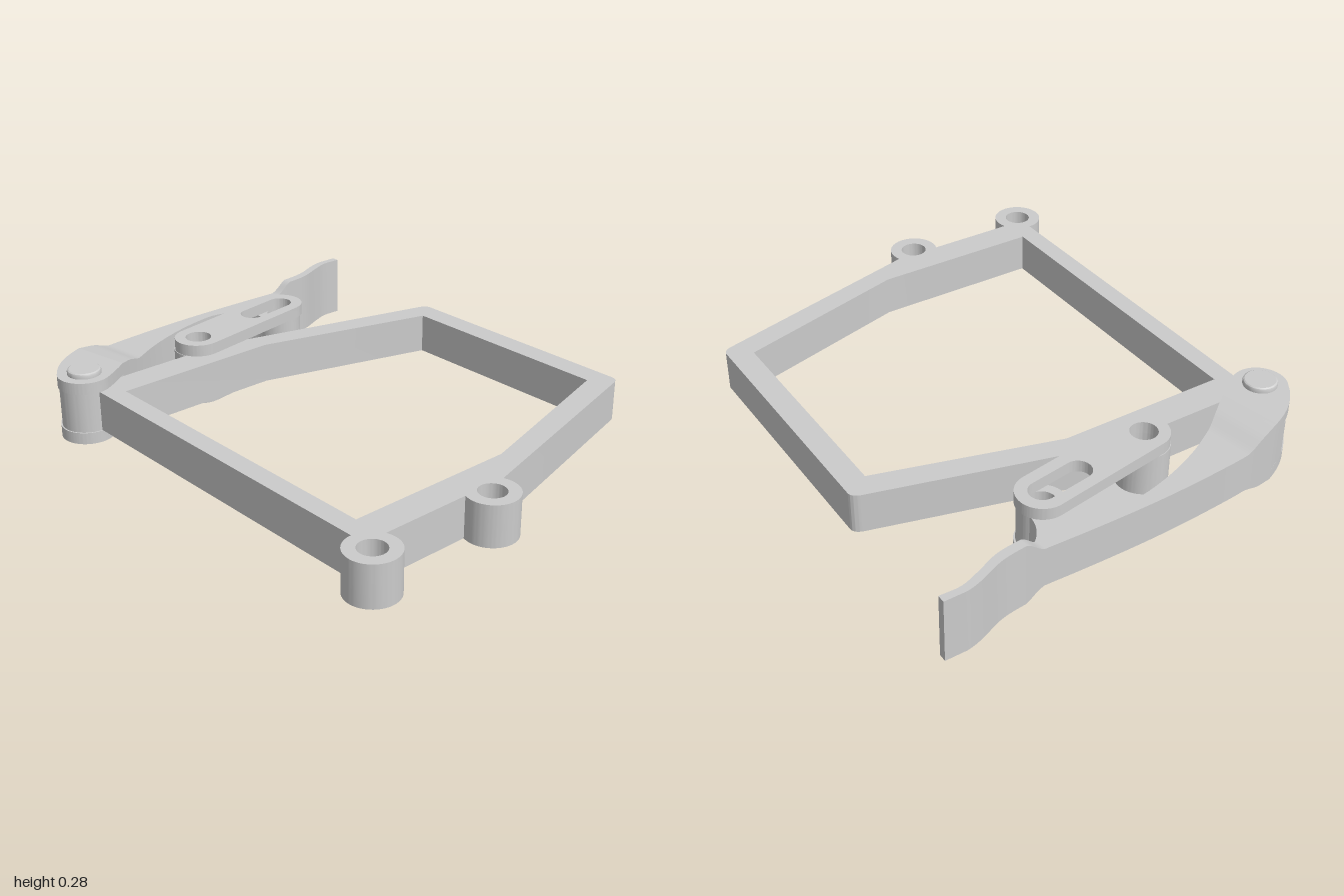
import * as THREE from 'three';
import { toCreasedNormals } from 'three/addons/utils/BufferGeometryUtils.js';

const LOW = 0.065, HIGH = 0.22;       // frame thickness
const BOTTOM = 0.02, TOP = 0.265;     // outer faces of link and fork plates
const MID = (LOW + HIGH) / 2;
const PIN = [-0.66, 0.71], LINK_A = [-0.66, 0.19], LINK_B = [-0.735, -0.28];
const rad = THREE.MathUtils.degToRad;
const material = new THREE.MeshStandardMaterial({ color: 0xcccccc, side: THREE.DoubleSide });

function addMesh(parent, name, geometry) {
  const mesh = new THREE.Mesh(geometry, material);
  mesh.name = name;
  parent.add(mesh);
  return mesh;
}

// Extrude a plan shape, drawn in (x, z), between two heights
function slab(shape, y0, y1) {
  const g = new THREE.ExtrudeGeometry(shape, { depth: y1 - y0, bevelEnabled: false, curveSegments: 28 });
  g.rotateX(Math.PI / 2).translate(0, y1, 0);
  return toCreasedNormals(g, 0.45);
}

function circleHole([x, z], r) {
  return new THREE.Path().absarc(x, z, r, 0, Math.PI * 2, true);
}

// Outline around two round ends
function capsule(path, a, b, r) {
  const t = Math.atan2(b[1] - a[1], b[0] - a[0]);
  path.absarc(b[0], b[1], r, t - Math.PI / 2, t + Math.PI / 2, false);
  path.absarc(a[0], a[1], r, t + Math.PI / 2, t + Math.PI * 1.5, false);
  path.closePath();
  return path;
}

// Hexagonal frame with four hinge bosses merged into its outline
function frameShape() {
  const c = 0.1225, off = 0.7825, r = 0.095, a = 1.947, PI = Math.PI;
  const s = new THREE.Shape();
  s.moveTo(c - 0.48, -0.79);
  s.lineTo(c + 0.48, -0.79);
  s.quadraticCurveTo(c + 0.506, -0.79, c + 0.516, -0.755);
  s.absarc(c + off, 0.19, r, -a, a, false);
  s.absarc(c + off, 0.71, r, -a, PI, false);
  s.absarc(c - off, 0.71, r, 0, PI + a, false);
  s.absarc(c - off, 0.19, r, PI - a, PI + a, false);
  s.lineTo(c - 0.516, -0.755);
  s.quadraticCurveTo(c - 0.506, -0.79, c - 0.48, -0.79);
  const opening = [[-0.435, -0.7], [-0.6275, -0.02], [-0.6275, 0.635], [0.6275, 0.635], [0.6275, -0.02], [0.435, -0.7]];
  s.holes.push(new THREE.Path(opening.map(([x, z]) => new THREE.Vector2(c + x, z))));
  for (const x of [c - off, c + off]) for (const z of [0.19, 0.71]) s.holes.push(circleHole([x, z], 0.05));
  return s;
}

// Lever arm stations: outer x, z, inner x, z, half height
const stations = [
  [-0.872, 0.60, -0.64, 0.555, 0.1225], [-0.895, 0.52, -0.685, 0.49, 0.105],
  [-0.912, 0.44, -0.73, 0.42, 0.0775], [-0.925, 0.30, -0.80, 0.29, 0.0775],
  [-0.935, 0.12, -0.862, 0.12, 0.0775], [-0.938, -0.04, -0.893, -0.04, 0.0775],
  [-0.935, -0.25, -0.895, -0.25, 0.0775], [-0.93, -0.40, -0.893, -0.40, 0.0775],
  [-0.93, -0.47, -0.895, -0.47, 0.1225], [-0.945, -0.57, -0.908, -0.565, 0.1225],
  [-0.985, -0.67, -0.947, -0.66, 0.1225], [-1, -0.73, -0.971, -0.73, 0.1225],
  [-1, -0.81, -0.971, -0.81, 0.1225],
];

// Sweep a rectangular section through the stations
function leverGeometry() {
  const curve = (i) => new THREE.CatmullRomCurve3(stations.map((s) => new THREE.Vector3(s[i], s[4], s[i + 1])));
  const outer = curve(0), inner = curve(2), n = (stations.length - 1) * 6;
  const pos = [], index = [];
  for (let i = 0; i <= n; i++) {
    const o = outer.getPoint(i / n), p = inner.getPoint(i / n);
    const h = THREE.MathUtils.clamp(o.y, 0.0775, 0.1225);
    const ox = Math.max(o.x, -1);
    pos.push(ox, MID - h, o.z, ox, MID + h, o.z, p.x, MID + h, p.z, p.x, MID - h, p.z);
    if (i === n) break;
    for (let k = 0; k < 4; k++) {
      const a = i * 4 + k, b = i * 4 + (k + 1) % 4;
      index.push(a, b, b + 4, a, b + 4, a + 4);
    }
  }
  const e = n * 4;
  index.push(0, 3, 2, 0, 2, 1, e, e + 1, e + 2, e, e + 2, e + 3);
  const g = new THREE.BufferGeometry();
  g.setAttribute('position', new THREE.Float32BufferAttribute(pos, 3));
  g.setIndex(index);
  return toCreasedNormals(g, 0.6);
}

// Plate that wraps the pin at the end of the lever
function forkShape() {
  const s = new THREE.Shape();
  s.moveTo(-0.872, 0.60);
  s.quadraticCurveTo(-0.82, 0.73, -0.724, 0.787);
  s.absarc(...PIN, 0.1, rad(130), rad(-25), true);
  s.quadraticCurveTo(-0.6, 0.61, -0.64, 0.555);
  s.closePath();
  return s;
}

// Web between the fork plates, hollowed around the hinge boss
function webShape() {
  const s = new THREE.Shape();
  s.moveTo(-0.872, 0.60);
  s.quadraticCurveTo(-0.85, 0.65, -0.83, 0.685);
  s.absarc(...PIN, 0.13, rad(190), rad(278), false);
  s.lineTo(-0.64, 0.555);
  s.closePath();
  return s;
}

// Hook that joins the lever to the slotted link
function hookShape() {
  const s = new THREE.Shape();
  s.moveTo(-0.915, -0.43);
  s.lineTo(-0.893, -0.42);
  s.quadraticCurveTo(-0.85, -0.36, -0.775, -0.355);
  s.absarc(...LINK_B, 0.085, rad(-118), rad(95), false);
  s.bezierCurveTo(-0.82, -0.195, -0.885, -0.15, -0.893, -0.04);
  s.lineTo(-0.915, -0.04);
  s.closePath();
  s.holes.push(circleHole(LINK_B, 0.05));
  return s;
}

function linkShape() {
  const s = capsule(new THREE.Shape(), LINK_A, LINK_B, 0.092);
  s.holes.push(circleHole(LINK_A, 0.05));
  s.holes.push(capsule(new THREE.Path(), [-0.711, -0.12], LINK_B, 0.048));
  return s;
}

export function createModel() {
  const model = new THREE.Group();
  addMesh(model, 'frame', slab(frameShape(), LOW, HIGH));

  const lever = new THREE.Group();
  lever.name = 'lever';
  addMesh(lever, 'leverArm', leverGeometry());
  addMesh(lever, 'forkWeb', slab(webShape(), LOW, HIGH));
  addMesh(lever, 'leverHook', slab(hookShape(), LOW, HIGH));
  model.add(lever);

  const link = new THREE.Group();
  link.name = 'slottedLink';
  model.add(link);

  // Upper and lower plates of the fork and the link
  for (const [side, y0, y1] of [['upper', HIGH, TOP], ['lower', BOTTOM, LOW]]) {
    addMesh(lever, side + 'ForkPlate', slab(forkShape(), y0, y1));
    addMesh(link, side + 'LinkPlate', slab(linkShape(), y0, y1));
  }

  // Hinge pin with a softly rounded head
  const profile = [[0, 0], [0.047, 0], [0.047, TOP], [0.063, TOP], [0.063, 0.277], [0.061, 0.282], [0.056, 0.285], [0, 0.285]];
  const pin = new THREE.LatheGeometry(profile.map(([r, y]) => new THREE.Vector2(r, y)), 40);
  addMesh(model, 'hingePin', toCreasedNormals(pin, 0.5)).position.set(PIN[0], 0, PIN[1]);

  return model;
}
